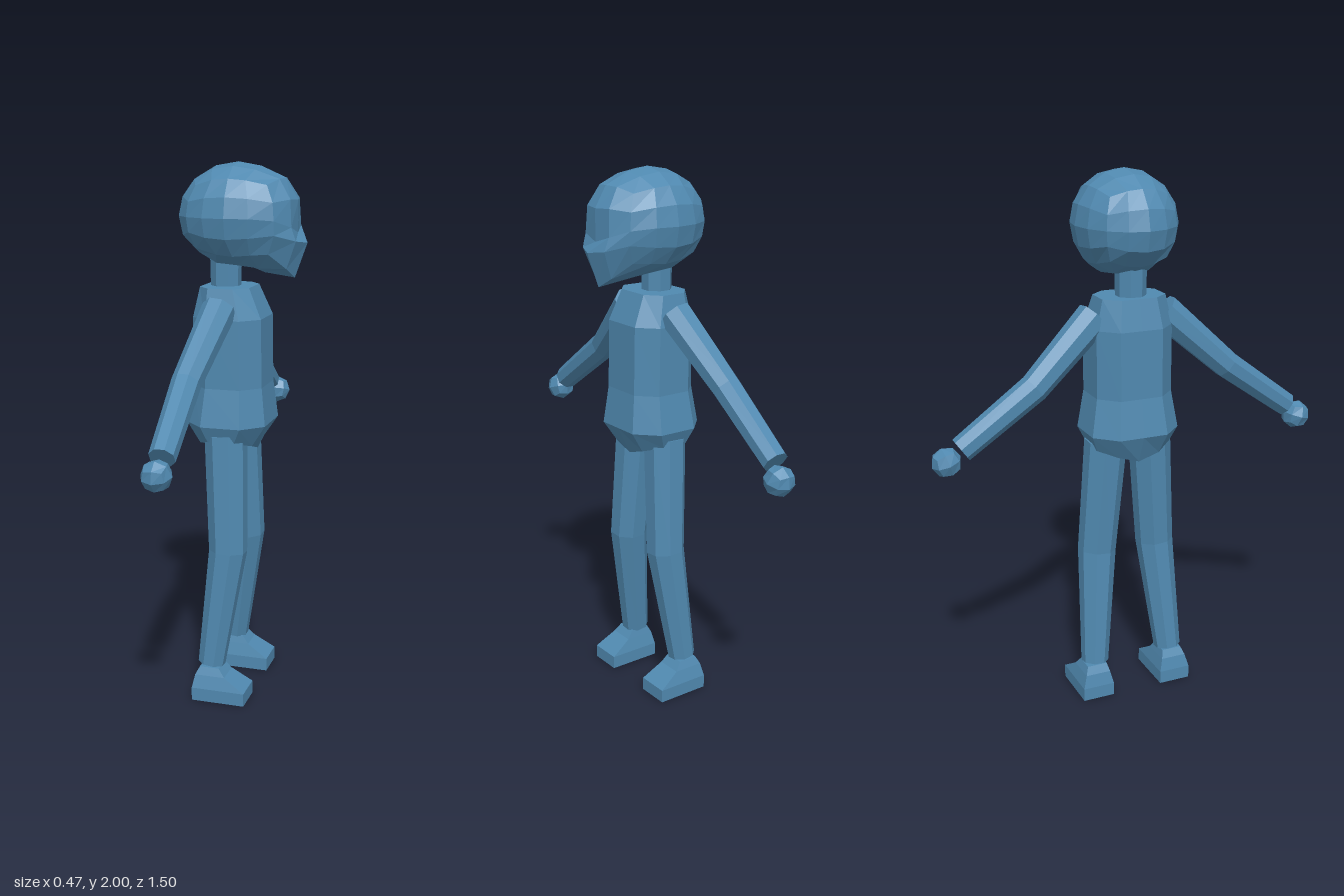
import * as THREE from 'three';

const skin = new THREE.MeshStandardMaterial({ color: 0x5089b0, flatShading: true });
skin.name = 'blue';

function part(name, geometry) {
  const mesh = new THREE.Mesh(geometry, skin);
  mesh.name = name;
  return mesh;
}

// Joins rings of points into a closed solid, with flat ends
function loft(rings) {
  const tris = [];
  const n = rings[0].length;
  for (let i = 0; i < rings.length - 1; i++) {
    for (let j = 0; j < n; j++) {
      const k = (j + 1) % n;
      const a = rings[i][j], b = rings[i][k], c = rings[i + 1][k], d = rings[i + 1][j];
      tris.push([a, b, c], [a, c, d]);
    }
  }
  const first = rings[0], last = rings[rings.length - 1];
  for (const [ring, flip] of [[first, true], [last, false]]) {
    const mid = ring.reduce((s, p) => s.add(p), new THREE.Vector3()).divideScalar(n);
    for (let j = 0; j < n; j++) {
      const a = ring[j], b = ring[(j + 1) % n];
      tris.push(flip ? [mid, b, a] : [mid, a, b]);
    }
  }
  // Turn every face outward
  let volume = 0;
  for (const [a, b, c] of tris) volume += a.dot(b.clone().cross(c));
  if (volume < 0) tris.forEach((t) => t.reverse());
  const geometry = new THREE.BufferGeometry().setFromPoints(tris.flat());
  geometry.computeVertexNormals();
  return geometry;
}

// Eight-sided limb through points [x, y, z, radius]
function limb(points) {
  const centres = points.map((p) => new THREE.Vector3(p[0], p[1], p[2]));
  return loft(centres.map((c, i) => {
    const ahead = centres[Math.min(i + 1, centres.length - 1)];
    const behind = centres[Math.max(i - 1, 0)];
    const dir = ahead.clone().sub(behind).normalize();
    const v = new THREE.Vector3(1, 0, 0).cross(dir).normalize();
    const u = dir.clone().cross(v);
    return Array.from({ length: 8 }, (_, j) => {
      const a = (j + 0.5) * Math.PI / 4, r = points[i][3] * 1.06;
      return c.clone().addScaledVector(u, r * Math.cos(a)).addScaledVector(v, r * Math.sin(a));
    });
  }));
}

// Ball made from a subdivided cube; place() positions each vertex
function cubeBall(segments, place) {
  const geometry = new THREE.BoxGeometry(2, 2, 2, segments, segments, segments);
  const pos = geometry.attributes.position;
  for (let i = 0; i < pos.count; i++) {
    const grid = new THREE.Vector3().fromBufferAttribute(pos, i);
    const dir = new THREE.Vector3(...grid.toArray().map((t) => Math.tan(t * Math.PI / 4))).normalize();
    place(dir, grid);
    pos.setXYZ(i, dir.x, dir.y, dir.z);
  }
  geometry.computeVertexNormals();
  return geometry;
}

// Head: rounded skull, flat face, pointed muzzle and chin
function headGeometry() {
  const profile = { '-1': [0.19, 1.595], '-0.5': [0.235, 1.72], 0: [0.2, 1.755], 0.5: [0.2, 1.87], 1: [0.155, 1.945] };
  return cubeBall(4, (p, grid) => {
    p.set(p.x * 0.22 - 0.02, p.y * 0.19 + 1.81, p.z * 0.187 - 0.005);
    if (p.y < 1.7) p.x += 0.015;
    p.y = Math.max(p.y, 1.64);
    if (grid.x === 1) {
      const [x, y] = profile[grid.y];
      const w = [1, 0.6, 0.15][Math.round(Math.abs(grid.z) * 2)];
      p.x += (x - p.x) * w;
      p.y += (y - p.y) * w;
    } else if (grid.y === -1 && grid.x === 0.5) {
      p.y -= 0.03 * (1 - Math.abs(grid.z));
    }
  });
}

// Torso: chamfered rings [y, back x, front x, half width, dip of the middle]
function torsoGeometry() {
  const rows = [
    [1.0, -0.145, 0.055, 0.145, 0.045],
    [1.06, -0.19, 0.108, 0.17, 0],
    [1.2, -0.168, 0.092, 0.147, 0],
    [1.45, -0.168, 0.088, 0.147, 0],
    [1.56, -0.145, 0.04, 0.122, 0],
  ];
  const outline = [[1, 0], [1, 0.55], [0.5, 1], [-0.5, 1], [-1, 0.55], [-1, 0], [-1, -0.55], [-0.5, -1], [0.5, -1], [1, -0.55]];
  return loft(rows.map(([y, back, front, width, dip]) => outline.map(([u, v]) => new THREE.Vector3(
    (back + front) / 2 + u * (front - back) / 2,
    y - dip * (1 - Math.abs(v)),
    v * width,
  ))));
}

// Shoe: rectangles [y, heel x, toe x, inner z, outer z]
function footGeometry(side) {
  const rows = [
    [0, -0.14, 0.065, 0.1, 0.224],
    [0.05, -0.14, 0.065, 0.1, 0.224],
    [0.1, -0.13, -0.015, 0.112, 0.21],
    [0.13, -0.115, -0.04, 0.12, 0.198],
  ];
  return loft(rows.map(([y, heel, toe, inner, outer]) => [
    [heel, inner], [toe, inner], [toe, outer], [heel, outer],
  ].map(([x, z]) => new THREE.Vector3(x, y, z * side))));
}

export function createModel() {
  const group = new THREE.Group();
  group.name = 'figure';
  group.add(part('head', headGeometry()));
  group.add(part('neck', limb([[-0.067, 1.53, 0, 0.052], [-0.067, 1.68, 0, 0.055]])));
  group.add(part('torso', torsoGeometry()));

  for (const side of [1, -1]) {
    const name = side > 0 ? 'near' : 'far';
    group.add(part(name + 'Arm', limb([
      [-0.05, 1.49, 0.135 * side, 0.06],
      [-0.092, 1.268, 0.38 * side, 0.05],
      [-0.083, 1.075, 0.65 * side, 0.044],
    ])));
    group.add(part(name + 'Leg', limb([
      [-0.042, 1.02, 0.088 * side, 0.075],
      [-0.025, 0.58, 0.12 * side, 0.068],
      [-0.08, 0.135, 0.155 * side, 0.049],
    ])));
    group.add(part(name + 'Foot', footGeometry(side)));

    // Small faceted hand beyond the wrist
    const hand = part(name + 'Hand', cubeBall(2, (p) => p.multiplyScalar(0.055)));
    hand.position.set(side > 0 ? -0.085 : -0.058, 1.028, 0.698 * side);
    hand.rotation.x = 0.3 * side;
    group.add(hand);
  }
  return group;
}
